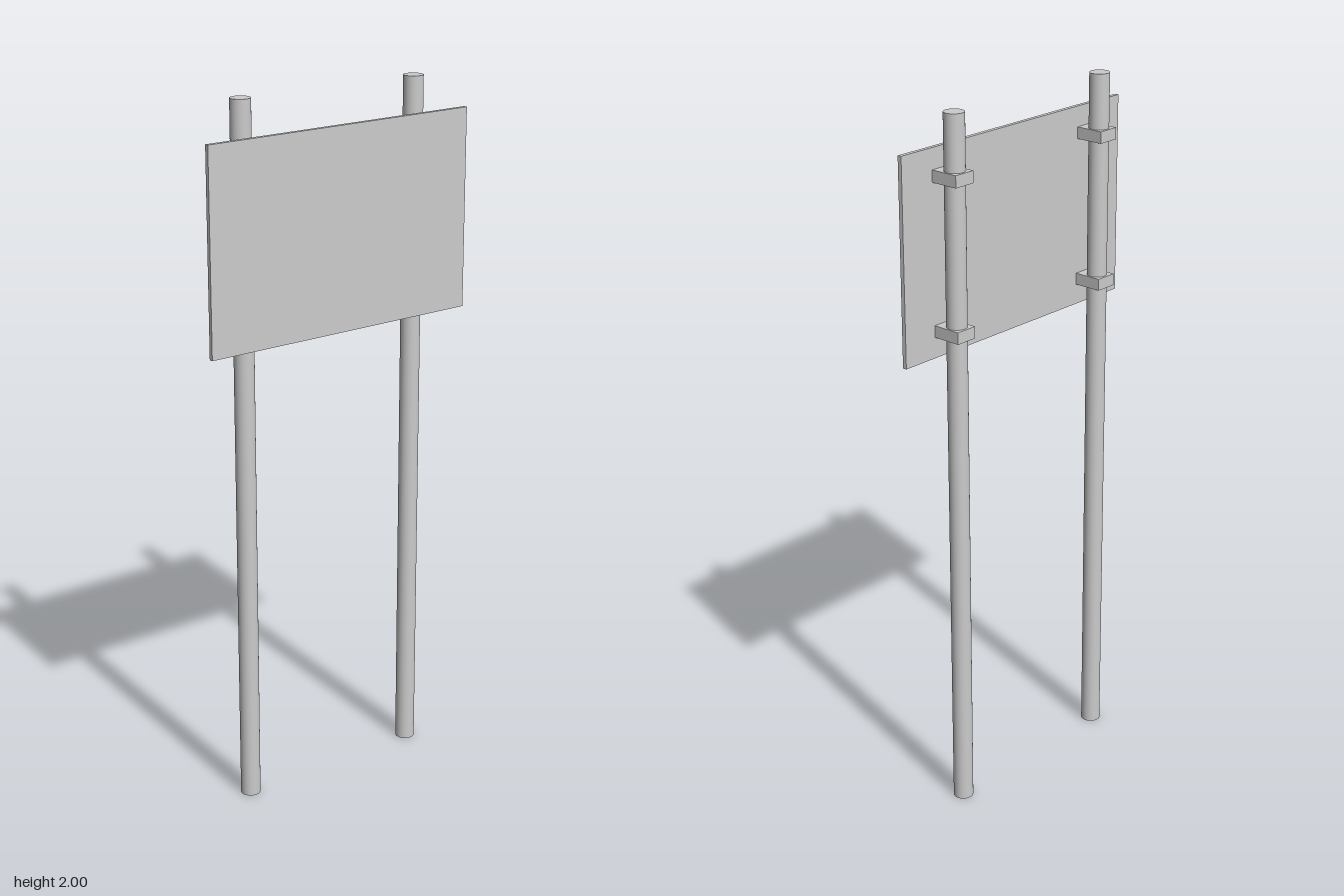
import * as THREE from 'three';

export function createModel() {
  const model = new THREE.Group();
  model.name = 'signboard';
  const material = new THREE.MeshStandardMaterial({ color: 0xcccccc });

  const add = (name, geometry, x, y, z) => {
    const mesh = new THREE.Mesh(geometry, material);
    mesh.name = name;
    mesh.position.set(x, y, z);
    model.add(mesh);
  };

  // Flat sign panel in front of the posts
  add('panel', new THREE.BoxGeometry(0.853, 0.566, 0.012), 0, 1.622, 0.041);

  // Two round posts, each with an upper and a lower clamp block
  const postGeometry = new THREE.CylinderGeometry(0.028, 0.028, 2, 32);
  const clampGeometry = new THREE.BoxGeometry(0.065, 0.033, 0.082);
  for (const [side, sign] of [['left', 1], ['right', -1]]) {
    const x = sign * 0.285;
    add(`${side}Post`, postGeometry, x, 1, -0.013);
    add(`${side}UpperClamp`, clampGeometry, x, 1.831, -0.006);
    add(`${side}LowerClamp`, clampGeometry, x, 1.413, -0.006);
  }
  return model;
}
